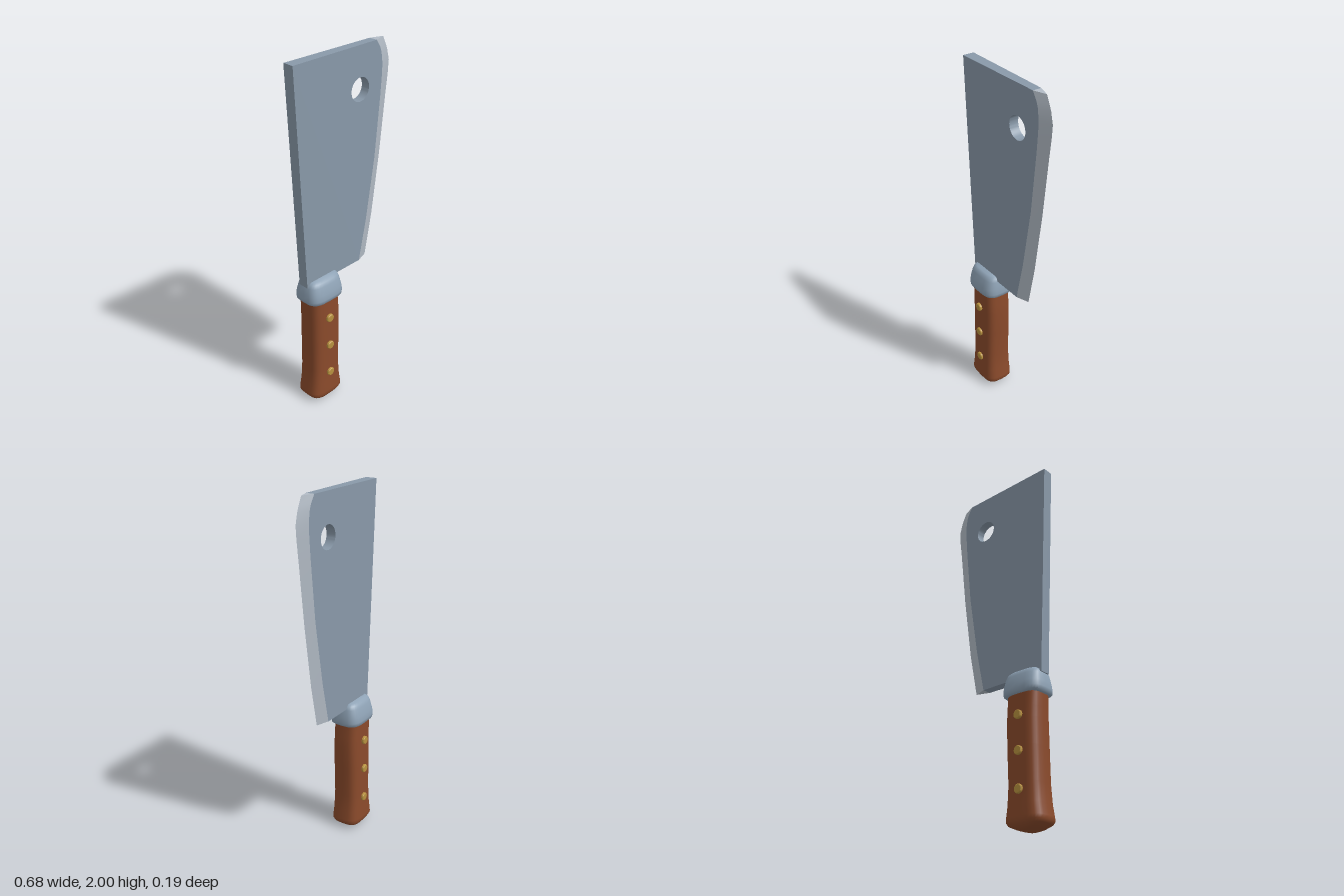
import * as THREE from 'three';
import { toCreasedNormals } from 'three/addons/utils/BufferGeometryUtils.js';

const material = (name, color) => {
  const m = new THREE.MeshStandardMaterial({ color });
  m.name = name;
  return m;
};

// Half thickness of the blade, tapering from the spine to the bevel
const halfThickness = (x) => 0.031 - (x + 0.34) * 0.0125;

// Rows of the ground bevel: y, inner x, cutting edge x
const bevelRows = [
  [0.78, 0.11, 0.183],
  [1.02, 0.162, 0.231],
  [1.37, 0.22, 0.282],
  [1.7, 0.254, 0.32],
  [1.8, 0.262, 0.333],
  [1.87, 0.265, 0.338],
  [1.93, 0.256, 0.323],
  [1.96, 0.245, 0.31],
  [2.0, 0.218, 0.29],
];

function buildFromFaces(positions, indices, crease) {
  const g = new THREE.BufferGeometry();
  g.setAttribute('position', new THREE.Float32BufferAttribute(positions, 3));
  g.setIndex(indices);
  return toCreasedNormals(g, crease);
}

function bladeBody() {
  const shape = new THREE.Shape();
  shape.moveTo(-0.285, 0.78);
  for (const [y, x] of bevelRows) shape.lineTo(x, y);
  shape.lineTo(-0.34, 2);
  shape.closePath();
  const hole = new THREE.Path();
  hole.absarc(0.105, 1.775, 0.063, 0, Math.PI * 2, true);
  shape.holes.push(hole);
  const g = new THREE.ExtrudeGeometry(shape, { depth: 1, bevelEnabled: false, curveSegments: 24 });
  const p = g.attributes.position;
  for (let i = 0; i < p.count; i++) {
    p.setZ(i, (p.getZ(i) - 0.5) * 2 * halfThickness(p.getX(i)));
  }
  return toCreasedNormals(g, 0.5);
}

function bladeBevel() {
  const pos = [];
  const idx = [];
  for (const [y, inner, edge] of bevelRows) {
    const t = halfThickness(inner);
    pos.push(inner, y, t, edge, y, 0, inner, y, -t);
  }
  const last = (bevelRows.length - 1) * 3;
  for (let k = 0; k < last; k += 3) {
    for (const s of [0, 1]) {
      const a = k + s;
      idx.push(a, a + 1, a + 4, a, a + 4, a + 3);
    }
  }
  idx.push(0, 2, 1, last, last + 1, last + 2);
  return buildFromFaces(pos, idx, 0.35);
}

// Loft of rounded rectangles; rows run upward: y, left x, right x, half depth
function loft(rows, crease) {
  const sides = 28;
  const power = 2 / 3.5;
  const soft = (v) => Math.sign(v) * Math.abs(v) ** power;
  const pos = [];
  const idx = [];
  for (const [y, x0, x1, depth] of rows) {
    for (let i = 0; i < sides; i++) {
      const a = (i / sides) * Math.PI * 2;
      pos.push((x0 + x1) / 2 + soft(Math.cos(a)) * (x1 - x0) / 2, y, soft(Math.sin(a)) * depth);
    }
  }
  const top = (rows.length - 1) * sides;
  const centre = rows.length * sides;
  for (const [y, x0, x1] of [rows[0], rows[rows.length - 1]]) pos.push((x0 + x1) / 2, y, 0);
  for (let i = 0; i < sides; i++) {
    const j = (i + 1) % sides;
    for (let r = 0; r < top; r += sides) {
      idx.push(r + i, r + sides + i, r + j, r + j, r + sides + i, r + sides + j);
    }
    idx.push(centre, i, j, centre + 1, top + j, top + i);
  }
  return buildFromFaces(pos, idx, crease);
}

export function createModel() {
  const steel = material('blade steel', 0x8999a9);
  const edgeSteel = material('ground edge steel', 0xb3bcc6);
  const bolsterSteel = material('bolster steel', 0x8fa3b6);
  const wood = material('handle wood', 0x8a4a2b);
  const brass = material('rivet brass', 0xb8923f);

  const model = new THREE.Group();
  model.name = 'cleaver';
  const add = (name, geometry, mat) => {
    const mesh = new THREE.Mesh(geometry, mat);
    mesh.name = name;
    model.add(mesh);
    return mesh;
  };

  add('blade', bladeBody(), steel);
  add('bladeEdge', bladeBevel(), edgeSteel);

  // Collar between blade and handle
  add('bolster', loft([
    [0.673, -0.28, -0.065, 0.083],
    [0.68, -0.289, -0.056, 0.092],
    [0.7, -0.291, -0.054, 0.094],
    [0.73, -0.288, -0.057, 0.09],
    [0.775, -0.281, -0.064, 0.077],
    [0.795, -0.274, -0.071, 0.068],
    [0.805, -0.262, -0.083, 0.056],
  ], 0.9), bolsterSteel);

  // Grip, flared at the butt with a domed end
  add('handle', loft([
    [0.0, -0.2, -0.145, 0.045],
    [0.008, -0.235, -0.115, 0.063],
    [0.025, -0.278, -0.076, 0.08],
    [0.04, -0.289, -0.066, 0.087],
    [0.06, -0.287, -0.067, 0.087],
    [0.12, -0.277, -0.075, 0.083],
    [0.22, -0.27, -0.08, 0.08],
    [0.4, -0.268, -0.074, 0.08],
    [0.54, -0.267, -0.071, 0.079],
    [0.6, -0.268, -0.074, 0.078],
    [0.69, -0.27, -0.08, 0.077],
  ], 0.9), wood);

  // Rivets showing on both faces of the grip
  for (const y of [0.187, 0.377, 0.56]) {
    for (const side of [1, -1]) {
      const rivet = new THREE.LatheGeometry([
        [0.024, 0], [0.024, 0.021], [0.02, 0.025], [0, 0.026],
      ].map(([r, h]) => new THREE.Vector2(r, h)), 16);
      const mesh = add('rivet', toCreasedNormals(rivet, 0.6), brass);
      mesh.position.set(-0.174, y, side * 0.068);
      mesh.rotation.x = side * Math.PI / 2;
    }
  }
  return model;
}
